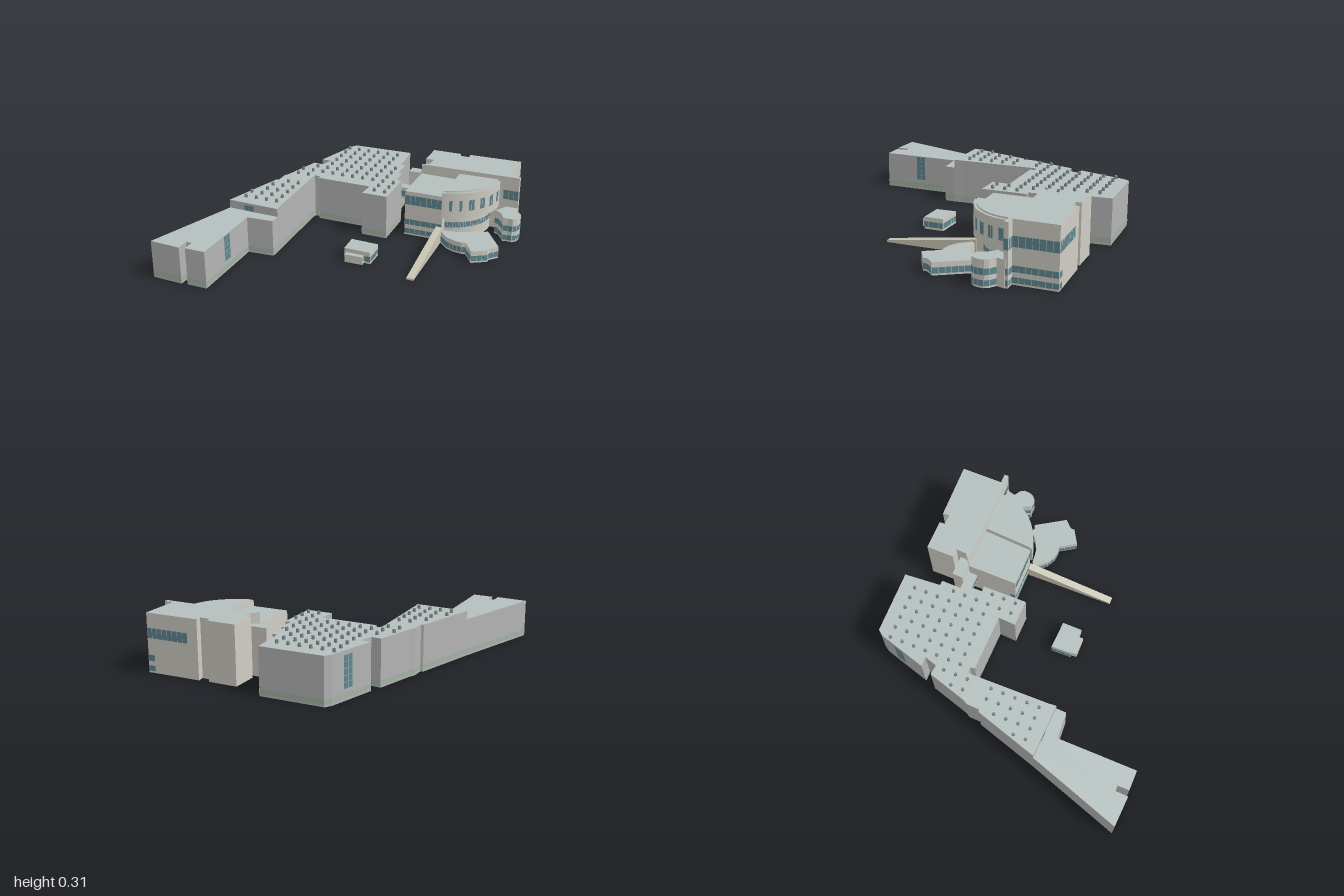
import * as THREE from 'three';

const mat = (color) => new THREE.MeshStandardMaterial({ color, side: THREE.DoubleSide });
const wingWall = mat(0xb4b4b4), hallWall = mat(0xcfcdc4), roofing = mat(0xb4bfbd);
const glass = mat(0x5f8791), plinth = mat(0xa2b3a3), stone = mat(0xc9c5b4), vent = mat(0x7c8484);

// Upright quads [p, q, y0, y1]; plans run counter-clockwise seen from above
function quads(name, list, material) {
  const v = [];
  for (const [p, q, a, b] of list) {
    v.push(p[0], a, p[1], q[0], a, q[1], q[0], b, q[1]);
    v.push(p[0], a, p[1], q[0], b, q[1], p[0], b, p[1]);
  }
  const g = new THREE.BufferGeometry();
  g.setAttribute('position', new THREE.Float32BufferAttribute(v, 3));
  g.computeVertexNormals();
  const m = new THREE.Mesh(g, material);
  m.name = name;
  return m;
}

function slab(name, pts, y, material) {
  const g = new THREE.ShapeGeometry(new THREE.Shape(pts.map(([x, z]) => new THREE.Vector2(x, -z))));
  g.rotateX(-Math.PI / 2).translate(0, y, 0);
  const m = new THREE.Mesh(g, material);
  m.name = name;
  return m;
}

// Walls and roof over a plan, open underneath unless a floor is wanted
function block(name, pts, y0, y1, material, floor = false) {
  const g = new THREE.Group();
  g.name = name;
  g.add(quads(name + 'Walls', pts.map((p, i) => [p, pts[(i + 1) % pts.length], y0, y1]), material));
  g.add(slab(name + 'Roof', pts, y1, roofing));
  if (floor) g.add(slab(name + 'Soffit', pts, y0, material));
  return g;
}

// Row of panes just outside a path
function band(name, path, y0, y1, material = glass, pane = 0.03, gap = 0.002) {
  const list = [];
  for (let i = 0; i < path.length - 1; i++) {
    const [ax, az] = path[i], dx = path[i + 1][0] - ax, dz = path[i + 1][1] - az;
    const len = Math.hypot(dx, dz), n = Math.max(1, Math.round(len / pane));
    const ox = -dz / len * 0.002, oz = dx / len * 0.002, t = gap / len / 2;
    const at = (k) => [ax + dx * k + ox, az + dz * k + oz];
    for (let k = 0; k < n; k++) list.push([at(k / n + t), at((k + 1) / n - t), y0, y1]);
  }
  return quads(name, list, material);
}

// Tall window made of stacked panes
function tallWindow(name, a, b, y0, y1) {
  const g = new THREE.Group();
  g.name = name;
  const rows = 5, h = (y1 - y0) / rows;
  for (let i = 0; i < rows; i++) g.add(band(name + 'Row', [a, b], y0 + i * h, y0 + (i + 1) * h - 0.002, glass, 0.025));
  return g;
}

function inside([x, z], pts) {
  let hit = false;
  pts.forEach(([ax, az], i) => {
    const [bx, bz] = pts[(i + 1) % pts.length];
    if ((az > z) !== (bz > z) && x < ax + (z - az) / (bz - az) * (bx - ax)) hit = !hit;
  });
  return hit;
}

// Roof vents on a grid turned with the buildings
function vents(pts, y) {
  const g = new THREE.Group();
  g.name = 'roofVents';
  const geo = new THREE.CylinderGeometry(0.0075, 0.009, 0.017, 8);
  const ux = 0.88, uz = -0.475, m = 0.02;
  for (let i = -20; i <= 20; i++) for (let j = -20; j <= 20; j++) {
    const a = i * 0.06 + 0.01, b = j * 0.066 + 0.015;
    const x = a * ux - b * uz, z = a * uz + b * ux;
    if (![[m, 0], [-m, 0], [0, m], [0, -m]].every(([p, q]) => inside([x + p, z + q], pts))) continue;
    const c = new THREE.Mesh(geo, vent);
    c.name = 'roofVent';
    c.position.set(x, y + 0.0085, z);
    g.add(c);
  }
  return g;
}

const closed = (pts) => [...pts, pts[0]];

// Quarter-round plan of the drum
const hub = [0.17, -0.645];
function arc(scale, extra = 0, from = 65, to = -30) {
  const out = [];
  for (let i = 0; i <= 24; i++) {
    const t = i / 24, a = THREE.MathUtils.degToRad(from + (to - from) * t);
    const r = (0.222 + 0.035 * (1 - t) ** 3 - 0.012 * t) * scale + extra;
    out.push([hub[0] + r * Math.cos(a), hub[1] + r * Math.sin(a)]);
  }
  return out;
}

export function createModel() {
  const model = new THREE.Group();
  model.name = 'buildingComplex';

  // Long wing in three stepped blocks
  const south = [[-0.42, 0.47], [-0.33, 0.99], [-0.18, 0.92], [-0.21, 0.86], [-0.185, 0.845],
    [-0.155, 0.90], [-0.06, 0.85], [-0.26, 0.47], [-0.14, 0.395], [-0.165, 0.345]];
  const middle = [[-0.51, 0.02], [-0.51, 0.05], [-0.48, 0.11], [-0.49, 0.12], [-0.42, 0.47],
    [-0.165, 0.345], [-0.19, 0.305], [-0.39, -0.055]];
  const north = [[-0.32, -0.725], [-0.615, -0.56], [-0.62, -0.52], [-0.565, -0.26], [-0.52, -0.285],
    [-0.505, -0.215], [-0.555, -0.195], [-0.51, 0.02], [-0.39, -0.055], [-0.40, -0.08], [-0.375, -0.095],
    [-0.36, -0.075], [-0.09, -0.215], [-0.05, -0.13], [0.075, -0.195], [-0.04, -0.405], [-0.065, -0.39],
    [-0.115, -0.475], [-0.135, -0.465], [-0.19, -0.57], [-0.215, -0.56]];
  model.add(block('southWing', south, 0, 0.2, wingWall));
  model.add(block('middleWing', middle, 0, 0.245, wingWall));
  model.add(block('northWing', north, 0, 0.245, wingWall));
  model.add(band('southPlinth', south, 0.012, 0.038, plinth));
  model.add(band('middlePlinth', middle.slice(0, 5), 0.012, 0.038, plinth));
  model.add(band('middlePlinthEast', middle.slice(5), 0.012, 0.038, plinth));
  model.add(band('northPlinth', closed(north), 0.012, 0.038, plinth));
  const ventZone = middle.slice(3, 4).concat([[-0.43, 0.42], [-0.19, 0.295], [-0.36, 0.0]]);
  model.add(vents(north, 0.245), vents(ventZone, 0.245));
  model.add(tallWindow('southWestWindow', [-0.394, 0.605], [-0.375, 0.71], 0.06, 0.2));
  model.add(tallWindow('southEastWindow', [-0.147, 0.685], [-0.173, 0.635], 0.06, 0.198));
  model.add(tallWindow('northWestWindow', [-0.604, -0.445], [-0.592, -0.388], 0.06, 0.225));
  model.add(band('stepWindow', [[-0.34, 0.431], [-0.29, 0.406]], 0.202, 0.232));

  // Main hall: tall rear block and lower front block
  const rear = [[0.295, -1], [0.04, -0.855], [0.06, -0.825], [0.01, -0.8], [-0.005, -0.825], [-0.145, -0.75],
    [-0.075, -0.62], [-0.035, -0.64], [-0.01, -0.59], [-0.03, -0.545], [0.415, -0.79], [0.455, -0.81],
    [0.445, -0.83], [0.40, -0.805]];
  const front = [[-0.03, -0.545], [0.095, -0.31], [0.28, -0.41], hub];
  model.add(block('rearHall', rear, 0, 0.31, hallWall));
  model.add(block('frontHall', front, 0, 0.255, hallWall));
  const corner = [[0.38, -0.771], ...rear.slice(11), rear[0]];
  model.add(band('rearUpperWindows', [...corner, [0.09, -0.883]], 0.18, 0.233));
  for (const [a, b] of [[0.062, 0.093], [0.01, 0.038]])
    model.add(band('rearLowerWindows', [...corner, [0.26, -0.98]], a, b));
  const face = [front[1], front[2]];
  model.add(band('frontUpperWindows', face, 0.18, 0.233));
  model.add(band('frontLowerWindows', [[0.08, -0.338], ...face], 0.062, 0.093));
  model.add(band('frontBaseWindows', face, 0.01, 0.038));

  // Overhanging drum with a lower ring and a recessed base
  model.add(block('drumBase', [hub, ...arc(0.85)], 0, 0.135, hallWall));
  model.add(band('drumBaseWindows', arc(0.85), 0.062, 0.093));
  model.add(block('drumRing', [hub, ...arc(1, 0.015)], 0.135, 0.282, hallWall, true));
  model.add(block('drumTop', [hub, ...arc(1)], 0.282, 0.29, hallWall));
  const rim = arc(1, 0.015);
  for (const i of [2, 5, 8, 9, 12, 13, 16, 17, 20, 21])
    model.add(band('drumWindow', [rim[i], rim[i + 1]], 0.18, 0.24));

  // Small rounded annex beside the rear hall
  const annex = [[0.455, -0.82], [0.40, -0.80], [0.395, -0.70], [0.42, -0.70], [0.455, -0.685], [0.49, -0.66],
    [0.51, -0.675], [0.535, -0.685], [0.543, -0.71], [0.538, -0.735], [0.525, -0.76], [0.505, -0.772], [0.465, -0.775]];
  model.add(block('roundAnnex', annex, 0, 0.135, hallWall));
  for (const [a, b] of [[0.062, 0.093], [0.01, 0.038]])
    model.add(band('annexWindows', annex.slice(2), a, b));

  // Low pavilion wrapped round the drum
  const low = [[0.455, -0.585], [0.445, -0.565], [0.42, -0.57], [0.40, -0.51], [0.365, -0.46], [0.30, -0.415],
    [0.295, -0.39], [0.365, -0.365], [0.415, -0.365], [0.46, -0.38], [0.475, -0.395], [0.565, -0.345],
    [0.61, -0.42], [0.60, -0.44], [0.615, -0.495]];
  model.add(block('lowPavilion', low, 0, 0.065, hallWall));
  model.add(band('lowPavilionWindows', closed(low.slice(6).concat([low[0]])).slice(0, -1), 0.01, 0.04));

  // Free-standing kiosk with a lower porch
  const kiosk = [[0.065, 0.035], [0.12, 0.13], [0.25, 0.065], [0.20, -0.03]];
  const porch = [[0.125, 0.12], [0.145, 0.15], [0.232, 0.102], [0.215, 0.075]];
  model.add(block('kiosk', kiosk, 0, 0.065, hallWall), block('kioskPorch', porch, 0, 0.043, hallWall));
  model.add(band('kioskWindows', closed(kiosk), 0.012, 0.042));

  // Raised link between wing and hall, with a stair block beside it
  const link = [[-0.165, -0.485], [-0.14, -0.44], [0.0, -0.515], [-0.025, -0.56]];
  model.add(block('linkBridge', link, 0.105, 0.17, hallWall, true));
  model.add(band('linkWindows', [link[1], link[2]], 0.12, 0.152));
  model.add(band('linkWindowsBack', [link[3], link[0]], 0.12, 0.152));
  model.add(block('stairBlock', [[-0.125, -0.565], [-0.10, -0.515], [-0.01, -0.565], [-0.03, -0.615]], 0, 0.255, hallWall));

  // Entrance ramp
  const side = new THREE.Shape([[0, 0], [0.485, 0], [0.485, 0.01], [0, 0.078]].map((p) => new THREE.Vector2(...p)));
  const ramp = new THREE.Mesh(new THREE.ExtrudeGeometry(side, { depth: 0.037, bevelEnabled: false }), stone);
  ramp.name = 'entranceRamp';
  ramp.position.set(0.285, 0, -0.412);
  ramp.rotation.y = -Math.atan2(0.425, 0.235);
  model.add(ramp);

  return model;
}
